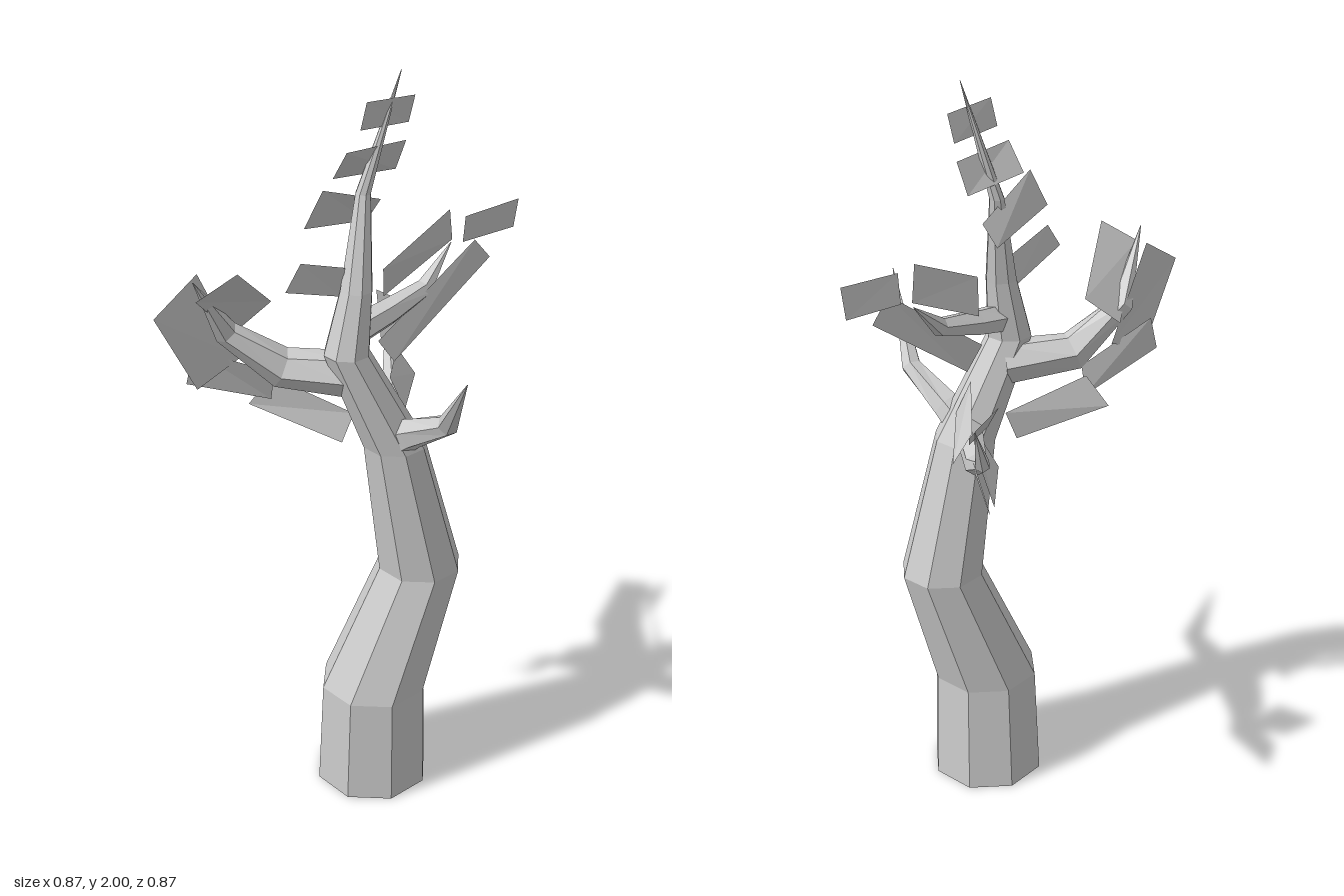
import * as THREE from 'three';

const bark = new THREE.MeshStandardMaterial({ color: 0xcccccc, flatShading: true, side: THREE.DoubleSide });
bark.name = 'pale grey';

// Open faceted tube through stations [x, y, z, radius]; level keeps rings horizontal
function limb(name, stations, sides, level = false) {
  const up = new THREE.Vector3(0, 1, 0);
  const centres = stations.map(([x, y, z]) => new THREE.Vector3(x, y, z));
  const positions = [], index = [];
  stations.forEach((s, i) => {
    const before = centres[Math.max(i - 1, 0)];
    const after = centres[Math.min(i + 1, centres.length - 1)];
    const dir = level ? up : after.clone().sub(before).normalize();
    const turn = new THREE.Quaternion().setFromUnitVectors(up, dir);
    for (let j = 0; j < sides; j++) {
      const a = ((j + 0.5) / sides) * Math.PI * 2;
      const p = new THREE.Vector3(Math.cos(a) * s[3], 0, Math.sin(a) * s[3]);
      positions.push(...p.applyQuaternion(turn).add(centres[i]).toArray());
      if (i < stations.length - 1) {
        const k = i * sides + j, n = i * sides + ((j + 1) % sides);
        index.push(k, k + sides, n, n, k + sides, n + sides);
      }
    }
  });
  return build(name, positions, index);
}

// Flat four-cornered leaf
function leaf(name, corners) {
  return build(name, corners.flat(), [0, 1, 2, 0, 2, 3]);
}

function build(name, positions, index) {
  const g = new THREE.BufferGeometry();
  g.setAttribute('position', new THREE.Float32BufferAttribute(positions, 3));
  g.setIndex(index);
  const flat = g.toNonIndexed();
  flat.computeVertexNormals();
  const mesh = new THREE.Mesh(flat, bark);
  mesh.name = name;
  return mesh;
}

export function createModel() {
  const tree = new THREE.Group();
  tree.name = 'tree';

  // Crooked trunk, tapering to a point
  tree.add(limb('trunk', [
    [0.085, 0, 0.075, 0.157], [0.088, 0.31, 0.085, 0.146], [0.205, 0.66, 0.038, 0.113],
    [0.135, 1.04, 0.08, 0.083], [0.015, 1.31, 0.122, 0.06], [0.037, 1.47, 0.1, 0.042],
    [0.05, 1.7, 0.05, 0.02], [0.137, 2, 0.036, 0.001],
  ], 8, true));

  // Side branches
  const branches = {
    frontBranch: [[0.13, 1.05, 0.09, 0.05], [0.18, 1.1, 0.14, 0.042], [0.27, 1.175, 0.235, 0.028], [0.31, 1.38, 0.43, 0.001]],
    backBranch: [[0.13, 1.08, 0.06, 0.04], [0.12, 1.08, -0.17, 0.03], [0.11, 1.13, -0.27, 0.02], [0.13, 1.25, -0.335, 0.001]],
    rightBranch: [[0.03, 1.24, 0.1, 0.06], [-0.15, 1.26, 0.11, 0.052], [-0.28, 1.37, 0.15, 0.032], [-0.34, 1.545, 0.26, 0.001]],
    leftBranch: [[0.03, 1.36, 0.11, 0.04], [0.11, 1.38, 0.03, 0.035], [0.2, 1.41, -0.06, 0.025], [0.265, 1.5, -0.15, 0.001]],
  };
  for (const [name, stations] of Object.entries(branches)) tree.add(limb(name, stations, 6));

  // Leaves, grouped by the limb that carries them
  const leaves = {
    crownLeaf: [
      [[0.06, 1.94, 0.1], [0.17, 1.93, 0], [0.155, 1.86, -0.01], [0.045, 1.87, 0.095]],
      [[0.015, 1.825, 0.125], [0.15, 1.815, -0.01], [0.125, 1.735, -0.03], [-0.02, 1.75, 0.095]],
      [[-0.04, 1.74, 0.15], [0.09, 1.66, -0.02], [0.055, 1.6, -0.03], [-0.085, 1.645, 0.155]],
      [[-0.09, 1.575, 0.2], [0.01, 1.53, 0.11], [0, 1.45, 0.1], [-0.125, 1.51, 0.225]],
    ],
    backLeaf: [
      [[0.12, 1.21, 0.05], [0.13, 1.18, -0.195], [0.18, 1.1, -0.205], [0.16, 1.12, 0.05]],
      [[0.11, 1.09, 0], [0.11, 1.09, -0.22], [0.08, 1, -0.25], [0.055, 1, -0.03]],
      [[0.136, 1.19, -0.37], [0.103, 1.09, -0.435], [0.09, 0.96, -0.22], [0.125, 1.055, -0.15]],
      [[0.07, 1.3, -0.3], [0.145, 1.245, -0.35], [0.14, 1.16, -0.22], [0.09, 1.19, -0.18]],
    ],
    rightLeaf: [
      [[-0.437, 1.45, 0.265], [-0.343, 1.53, 0.17], [-0.25, 1.28, 0.1], [-0.35, 1.23, 0.19]],
      [[-0.36, 1.325, 0.16], [-0.38, 1.235, 0.17], [-0.18, 1.15, 0.07], [-0.17, 1.23, 0.08]],
      [[-0.333, 1.5, 0.272], [-0.235, 1.565, 0.25], [-0.175, 1.42, 0.07], [-0.27, 1.34, 0.095]],
      [[-0.24, 1.125, 0.052], [0, 1.03, 0.07], [0.03, 1.11, 0.06], [-0.18, 1.21, 0.06]],
    ],
    leftLeaf: [
      [[0.1, 1.5, 0.04], [0.26, 1.6, -0.12], [0.268, 1.51, -0.145], [0.1, 1.41, 0]],
      [[0.325, 1.52, -0.12], [0.365, 1.46, -0.157], [0.13, 1.245, 0.03], [0.09, 1.31, 0.05]],
      [[0.3, 1.58, -0.125], [0.435, 1.59, -0.235], [0.425, 1.51, -0.242], [0.295, 1.505, -0.14]],
    ],
  };
  for (const [name, list] of Object.entries(leaves)) {
    list.forEach((corners, i) => tree.add(leaf(name + (i + 1), corners)));
  }
  return tree;
}
